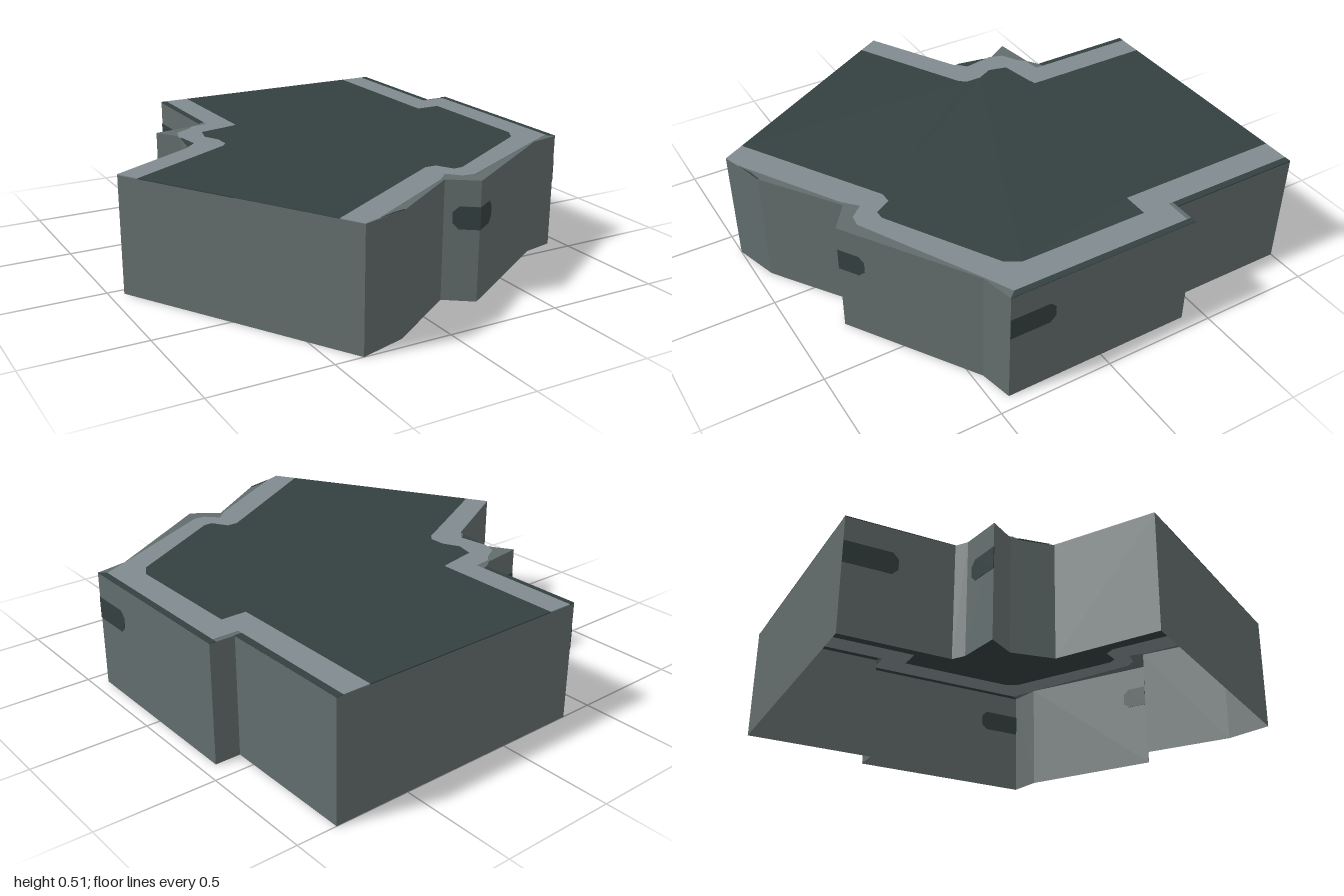
import * as THREE from 'three';

const TOP = 0.508, SKIN = 0.004;

function material(name, color) {
  const m = new THREE.MeshStandardMaterial({ color, side: THREE.DoubleSide });
  m.name = name;
  return m;
}

// Plan outline of the room, as [x, z]
const outline = [
  [-0.35, -1], [-0.35, -0.53], [-0.4, -0.497], [-0.58, -0.47], [-0.51, -0.36],
  [-0.545, -0.18], [-0.94, 0.04], [-0.38, 1], [-0.18, 0.94], [0.15, 0.715],
  [0.265, 0.8], [0.8, 0.46], [0.94, 0.43], [0.94, -0.41], [0.83, -0.41], [0.83, -1],
];

// Edges of the dark floor area
const floorLeft = [
  [-0.215, -1], [-0.215, -0.42], [-0.25, -0.41], [-0.4, -0.38], [-0.42, -0.3],
  [-0.385, -0.23], [-0.385, -0.16], [-0.41, -0.13], [-0.888, 0.13],
];
const floorRight = [
  [-0.432, 0.91], [0.17, 0.55], [0.22, 0.55], [0.26, 0.62], [0.3, 0.62],
  [0.76, 0.35], [0.795, 0.29], [0.795, -0.27], [0.685, -0.27], [0.685, -1],
];
// Outer edges of the pale border
const borderLeft = [
  [-0.94, 0.04], [-0.545, -0.18], [-0.5, -0.23], [-0.52, -0.36], [-0.5, -0.42],
  [-0.43, -0.46], [-0.4, -0.49], [-0.325, -0.5], [-0.325, -1],
];
const borderRight = [
  [0.8, -1], [0.8, -0.39], [0.912, -0.39], [0.912, 0.4], [0.8, 0.455], [0.29, 0.72],
  [0.24, 0.715], [0.19, 0.66], [0.13, 0.715], [-0.2, 0.91], [-0.31, 0.975], [-0.38, 1],
];
// Dark slivers between border and wall
const slivers = [
  [[-0.35, -1], [-0.325, -1], [-0.325, -0.54], [-0.35, -0.53]],
  [[0.8, -1], [0.83, -1], [0.83, -0.41], [0.8, -0.41]],
  [[0.912, -0.41], [0.94, -0.41], [0.94, 0.43], [0.912, 0.4]],
  [[-0.542, -0.2], [-0.503, -0.23], [-0.515, -0.34], [-0.52, -0.33]],
  [[-0.3, 0.972], [-0.23, 0.945], [-0.18, 0.935], [-0.18, 0.94]],
];

function planShape(points) {
  return new THREE.Shape(points.map(([x, z]) => new THREE.Vector2(x, -z)));
}

// Thin horizontal plate, centred on the roof sheet
function plate(points, mat, name) {
  const g = new THREE.ExtrudeGeometry(planShape(points), { depth: SKIN, bevelEnabled: false });
  g.rotateX(-Math.PI / 2).translate(0, TOP - SKIN / 2, 0);
  const mesh = new THREE.Mesh(g, mat);
  mesh.name = name;
  return mesh;
}

// Upright sheet between two plan points
function wall([x0, z0], [x1, z1], mat) {
  const g = new THREE.PlaneGeometry(Math.hypot(x1 - x0, z1 - z0), TOP);
  const mesh = new THREE.Mesh(g, mat);
  mesh.position.set((x0 + x1) / 2, TOP / 2, (z0 + z1) / 2);
  mesh.rotation.y = Math.atan2(-(z1 - z0), x1 - x0);
  mesh.name = 'wall';
  return mesh;
}

// Dark slot starting square at a wall corner and ending with clipped corners
function slot([x0, z0], [x1, z1], length, mat) {
  const c = 0.025, h = 0.095;
  const s = new THREE.Shape([
    [0, 0], [length - c, 0], [length, c], [length, h - c], [length - c, h], [0, h],
  ].map(([x, y]) => new THREE.Vector2(x, y)));
  const g = new THREE.ExtrudeGeometry(s, { depth: SKIN, bevelEnabled: false });
  g.translate(0, 0, -SKIN / 2);
  const mesh = new THREE.Mesh(g, mat);
  mesh.position.set(x0, 0.305, z0);
  mesh.rotation.y = Math.atan2(-(z1 - z0), x1 - x0);
  mesh.name = 'wallSlot';
  return mesh;
}

export function createModel() {
  const model = new THREE.Group();
  model.name = 'angledRoom';
  const wallGrey = material('wall grey', 0x626c6c);
  const paleGrey = material('pale border grey', 0x808b8f);
  const darkSlate = material('dark slate', 0x344040);

  // Walls all round, open underneath
  const walls = new THREE.Group();
  walls.name = 'walls';
  outline.forEach((p, i) => walls.add(wall(p, outline[(i + 1) % outline.length], wallGrey)));
  model.add(walls);

  // Top sheet
  const roof = new THREE.Mesh(
    new THREE.ShapeGeometry(planShape(outline)).rotateX(-Math.PI / 2).translate(0, TOP, 0), wallGrey);
  roof.name = 'topSheet';
  model.add(roof);

  // Painted areas of the top
  model.add(plate([...floorLeft, ...floorRight], darkSlate, 'darkTopArea'));
  model.add(plate([...floorLeft, ...borderLeft], paleGrey, 'leftBorder'));
  model.add(plate([...floorRight, ...borderRight], paleGrey, 'rightBorder'));
  slivers.forEach((s) => model.add(plate(s, darkSlate, 'darkEdge')));

  // Slots on the walls
  const o = outline;
  model.add(
    slot(o[10], o[11], 0.118, darkSlate),
    slot(o[10], o[9], 0.108, darkSlate),
    slot(o[12], o[13], 0.2, darkSlate),
    slot(o[0], o[1], 0.23, darkSlate),
    slot(o[3], o[2], 0.15, darkSlate),
  );
  return model;
}
